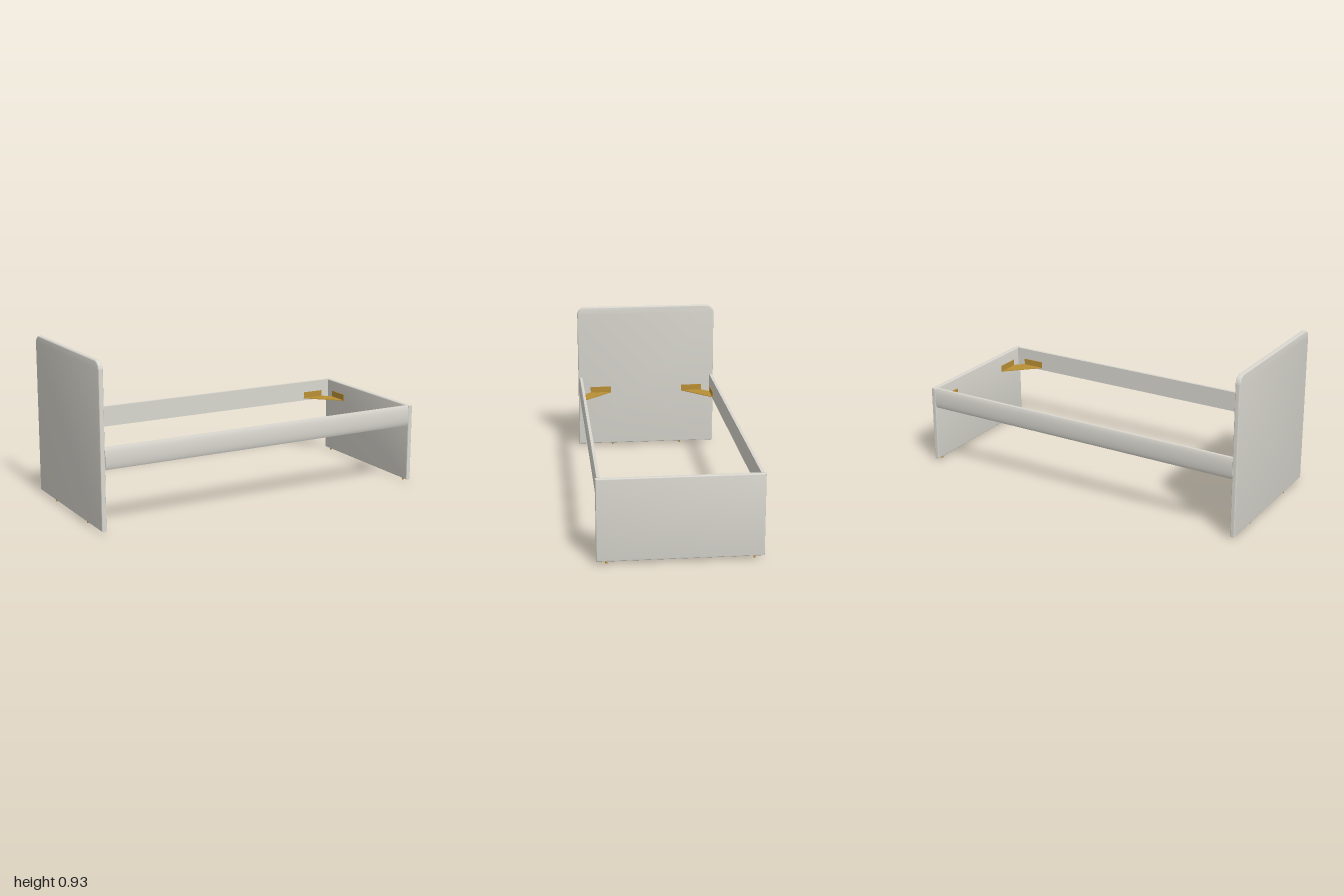
import * as THREE from 'three';
import { toCreasedNormals } from 'three/addons/utils/BufferGeometryUtils.js';

const paint = new THREE.MeshStandardMaterial({ color: 0xd9d7cf });
paint.name = 'warm light grey';
const brass = new THREE.MeshStandardMaterial({ color: 0xb98f35 });
brass.name = 'golden brown';

const HALF_W = 0.44, BOARD_T = 0.027, INNER_X = 1 - BOARD_T;
const FOOT_H = 0.012, RAIL_TOP = 0.465, RAIL_BOTTOM = 0.345;

function addMesh(parent, name, geometry, material, x = 0, y = 0, z = 0) {
  const mesh = new THREE.Mesh(geometry, material);
  mesh.name = name;
  mesh.position.set(x, y, z);
  parent.add(mesh);
  return mesh;
}

// Upright end panel with softened edges and optional rounded top corners
function boardGeometry(top, r) {
  const s = new THREE.Shape();
  s.moveTo(-HALF_W, FOOT_H);
  s.lineTo(HALF_W, FOOT_H);
  s.lineTo(HALF_W, top - r);
  if (r) s.absarc(HALF_W - r, top - r, r, 0, Math.PI / 2);
  s.lineTo(-HALF_W + r, top);
  if (r) s.absarc(-HALF_W + r, top - r, r, Math.PI / 2, Math.PI);
  const b = 0.007;
  const g = new THREE.ExtrudeGeometry(s, {
    depth: BOARD_T - 2 * b, bevelEnabled: true, bevelThickness: b,
    bevelSize: b, bevelOffset: -b, bevelSegments: 3, curveSegments: 10,
  });
  g.translate(0, 0, b - BOARD_T / 2);
  g.rotateY(Math.PI / 2);
  return toCreasedNormals(g, 0.6);
}

// Side rail: flat inside, gently bowed outside, running along x
function railGeometry() {
  const s = new THREE.Shape();
  s.moveTo(-0.415, RAIL_BOTTOM);
  s.lineTo(-0.415, RAIL_TOP);
  s.lineTo(-0.431, RAIL_TOP);
  s.bezierCurveTo(-0.443, RAIL_TOP - 0.02, -0.443, RAIL_BOTTOM + 0.02, -0.431, RAIL_BOTTOM);
  s.closePath();
  const g = new THREE.ExtrudeGeometry(s, { depth: 2 * INNER_X, bevelEnabled: false, curveSegments: 10 });
  g.translate(0, 0, -INNER_X);
  g.rotateY(Math.PI / 2);
  return toCreasedNormals(g, 0.6);
}

// Corner bracket: bottom plate with two upright flanges; corner at the origin
function makeBracket() {
  const bracket = new THREE.Group();
  const reach = 0.185, cut = 0.053, t = 0.004, height = 0.04;
  const s = new THREE.Shape([
    new THREE.Vector2(-cut, 0), new THREE.Vector2(-reach, 0),
    new THREE.Vector2(0, -reach), new THREE.Vector2(0, -cut),
  ]);
  const plate = new THREE.ExtrudeGeometry(s, { depth: t, bevelEnabled: false });
  plate.rotateX(Math.PI / 2);
  plate.translate(0, t, 0);
  // The quarter turn mirrors z, so flip it back by half a turn about the diagonal
  plate.rotateX(0);
  addMesh(bracket, 'bracketPlate', plate, brass);
  const len = reach - cut, mid = -(reach + cut) / 2;
  addMesh(bracket, 'railFlange', new THREE.BoxGeometry(len, height, t), brass, mid, height / 2, -t / 2);
  addMesh(bracket, 'boardFlange', new THREE.BoxGeometry(t, height, len), brass, -t / 2, height / 2, mid);
  return bracket;
}

export function createModel() {
  const bed = new THREE.Group();
  bed.name = 'bedFrame';
  const boardX = 1 - BOARD_T / 2;

  addMesh(bed, 'headboard', boardGeometry(0.925, 0.05), paint, -boardX);
  addMesh(bed, 'footboard', boardGeometry(RAIL_TOP, 0), paint, boardX);

  const rail = railGeometry();
  addMesh(bed, 'leftRail', rail, paint);
  addMesh(bed, 'rightRail', rail, paint).rotation.y = Math.PI;

  // Brackets in the four inner corners
  [[1, 1], [1, -1], [-1, -1], [-1, 1]].forEach(([sx, sz], i) => {
    const bracket = makeBracket();
    bracket.name = 'cornerBracket' + (i + 1);
    bracket.rotation.y = i * Math.PI / 2;
    bracket.position.set(sx * INNER_X, 0.358, sz * 0.415);
    bed.add(bracket);
  });

  // Small glides under both boards
  const glide = new THREE.CylinderGeometry(0.006, 0.006, FOOT_H + 0.002, 12);
  for (const side of [-1, 1]) {
    addMesh(bed, 'headGlide', glide, brass, -boardX, FOOT_H / 2 + 0.001, side * 0.222);
    addMesh(bed, 'footGlide', glide, brass, boardX, FOOT_H / 2 + 0.001, side * 0.387);
  }
  return bed;
}
